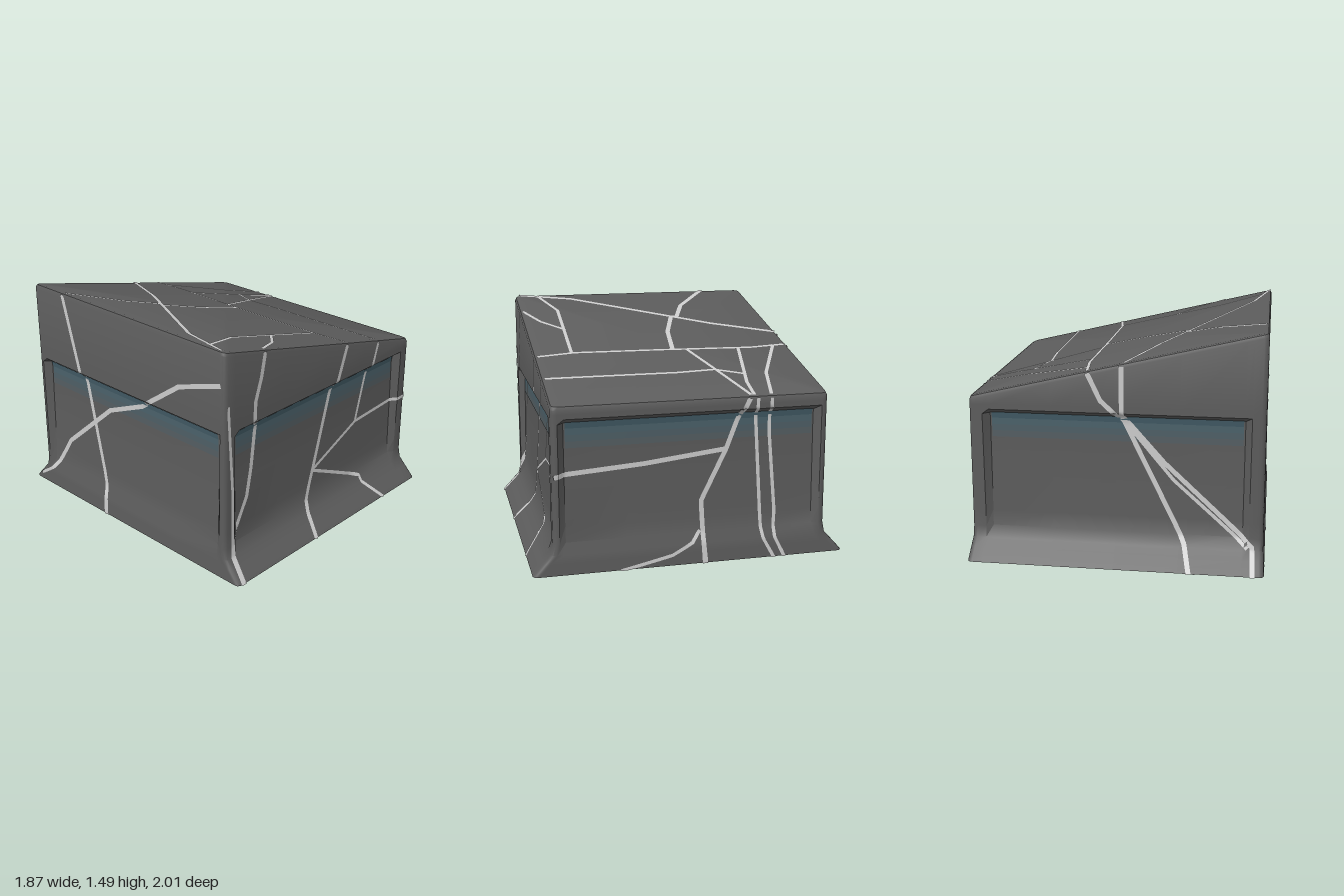
import * as THREE from 'three';
import { toCreasedNormals } from 'three/addons/utils/BufferGeometryUtils.js';

// Piecewise linear lookup in [[key, value], ...]
function lookup(table, t) {
  if (t <= table[0][0]) return table[0][1];
  for (let i = 1; i < table.length; i++) {
    const [k0, v0] = table[i - 1], [k1, v1] = table[i];
    if (t <= k1) return v0 + (v1 - v0) * (t - k0) / (k1 - k0);
  }
  return table[table.length - 1][1];
}

const R = 0.03;                                    // corner radius
const topY = x => 1.27 - 0.24 * x;                 // sloping top
const halfX = y => lookup([[0, 0.93], [0.13, 0.92], [0.98, 0.915]], y);
const halfZ = y => lookup([[0, 1], [0.03, 0.975], [0.13, 0.885], [0.2, 0.87]], y);
const depth = y => lookup([[0.13, 0], [0.2, 0.025], [0.3, 0.032], [0.9, 0.045], [0.94, 0.04], [0.97, 0]], y);
const rim = a => lookup([[0.79, 1], [0.83, 0]], Math.abs(a));

// Point on a wall. a runs along x on front/back and along z on the sides.
function wallPoint(face, a, y, lift = 0) {
  const inset = depth(y) * rim(a);
  if (face === 'front' || face === 'back') {
    const s = face === 'front' ? 1 : -1;
    return [a, y, s * (halfZ(y) - inset + lift)];
  }
  const s = face === 'left' ? 1 : -1;
  return [s * (halfX(y) - inset + lift), y, a * (halfZ(y) - R) / 0.84];
}

// One closed loop around the block, counter-clockwise seen from above
function loop(y, onTop, inset = 0) {
  const pts = [];
  const steps = [-1, -0.83, -0.79, -0.4, 0, 0.4, 0.79, 0.83, 1];
  const walls = [['front', 1, 0], ['left', -1, 90], ['back', -1, 180], ['right', 1, 270]];
  for (const [face, dir, turn] of walls) {
    const wide = face === 'front' || face === 'back';
    for (const s of steps) {
      const end = wide ? halfX(y) - R : 0.84;
      pts.push(wallPoint(face, dir * (Math.abs(s) === 1 ? s * end : s), y));
    }
    // rounded vertical corner
    const sx = turn < 180 ? 1 : -1, sz = turn === 0 || turn === 270 ? 1 : -1;
    for (const deg of [30, 60]) {
      const t = THREE.MathUtils.degToRad(turn + deg);
      pts.push([sx * (halfX(y) - R) + R * Math.sin(t), y, sz * (halfZ(y) - R) + R * Math.cos(t)]);
    }
  }
  if (onTop) for (const p of pts) {
    p[0] *= 1 - inset / 0.92;
    p[2] *= 1 - inset / 0.87;
    p[1] = topY(p[0]) - (inset ? 0 : 0.025);
  }
  return pts;
}

function bodyGeometry() {
  const levels = [0.003, 0.03, 0.08, 0.13, 0.2, 0.3, 0.6, 0.9, 0.94, 0.97, 1];
  const loops = levels.map(y => loop(y, false));
  loops.push(loop(1, true), loop(1, true, 0.008), loop(1, true, 0.025));
  const n = loops[0].length, pos = loops.flat(2), index = [];
  for (let r = 0; r < loops.length - 1; r++) {
    for (let i = 0; i < n; i++) {
      const j = (i + 1) % n, a = r * n + i, b = r * n + j;
      index.push(a, b, b + n, a, b + n, a + n);
    }
  }
  // soften the top edge, then close both ends
  for (let i = 0; i < n; i++) pos[((loops.length - 2) * n + i) * 3 + 1] -= 0.006;
  const bottom = pos.length / 3, top = bottom + 1, last = (loops.length - 1) * n;
  pos.push(0, levels[0], 0, 0, topY(0), 0);
  for (let i = 0; i < n; i++) {
    const j = (i + 1) % n;
    index.push(bottom, j, i, top, last + i, last + j);
  }
  const g = new THREE.BufferGeometry();
  g.setAttribute('position', new THREE.Float32BufferAttribute(pos, 3));
  g.setIndex(index);
  return toCreasedNormals(g, 0.6);
}

// Flat ribbon along a 2D polyline, laid onto a surface by map(u, v)
function ribbonGeometry(line, width, map) {
  const pts = [];
  line.forEach(([u, v], i) => {
    if (!i) return pts.push(new THREE.Vector2(u, v));
    const from = pts[pts.length - 1].clone(), to = new THREE.Vector2(u, v);
    const count = Math.max(1, Math.ceil(from.distanceTo(to) / 0.02));
    for (let k = 1; k <= count; k++) pts.push(from.clone().lerp(to, k / count));
  });
  const pos = [], index = [];
  pts.forEach((p, i) => {
    const d = pts[Math.min(i + 1, pts.length - 1)].clone().sub(pts[Math.max(i - 1, 0)]).normalize();
    const w = width / 2;
    pos.push(...map(p.x - d.y * w, p.y + d.x * w), ...map(p.x + d.y * w, p.y - d.x * w));
    if (i) index.push(2 * i - 2, 2 * i - 1, 2 * i + 1, 2 * i - 2, 2 * i + 1, 2 * i);
  });
  const g = new THREE.BufferGeometry();
  g.setAttribute('position', new THREE.Float32BufferAttribute(pos, 3));
  g.setIndex(index);
  g.computeVertexNormals();
  return g;
}

// Crack lines: [x, y] on front/back, [z, y] on the sides, [x, z] on top/bottom
const CRACKS = {
  front: [
    [[-0.58, 1.4], [-0.61, 1.25], [-0.66, 1.1], [-0.66, 0.98], [-0.61, 0.93], [-0.65, 0.65], [-0.69, 0.47], [-0.84, 0.2], [-0.88, 0]],
    [[0.21, 1.21], [0.1, 0.9], [-0.05, 0.42], [-0.19, 0]],
    [[0.55, 1.13], [0.48, 0.9], [0.39, 0.6]],
    [[-0.05, 0.4], [0.39, 0.59], [0.9, 0.62]],
    [[-0.05, 0.39], [0.43, 0.17], [0.43, 0.13], [0.55, 0]],
    [[-0.89, 1.15], [-0.85, 0.55], [-0.85, 0.2], [-0.89, 0]]],
  back: [
    [[0.17, 1.22], [0.09, 1.05], [-0.05, 0.92], [-0.43, 0.15], [-0.47, 0]],
    [[-0.04, 1.27], [-0.04, 0.95], [-0.3, 0.66], [-0.85, 0.15], [-0.86, 0]],
    [[-0.05, 0.92], [-0.36, 0.55], [-0.82, 0.14]]],
  left: [
    [[-0.36, 1.04], [-0.29, 0.9], [-0.22, 0.72], [-0.06, 0.4], [-0.07, 0.2], [-0.07, 0]],
    [[0.86, 0.62], [0.3, 0.66], [-0.22, 0.72]],
    [[-0.41, 1.04], [-0.41, 0.9], [-0.46, 0]],
    [[-0.5, 1.04], [-0.5, 0.8], [-0.54, 0.3], [-0.52, 0]],
    [[-0.05, 0.21], [0, 0.14], [0.12, 0.07], [0.4, 0]]],
  right: [
    [[-0.57, 1.48], [-0.41, 0.9], [-0.19, 0]],
    [[-0.84, 0.05], [-0.62, 0.4], [-0.19, 0.77], [0.12, 0.9], [0.5, 1.17], [0.84, 1.28]]],
  top: [
    [[-0.05, -0.86], [-0.24, -0.45], [-0.38, -0.22], [-0.8, 0.47], [-0.9, 0.84]],
    [[-0.9, -0.56], [-0.6, -0.32], [-0.4, -0.24], [-0.38, -0.19], [-0.12, -0.1], [0.17, -0.06]],
    [[0.17, -0.86], [0.2, -0.6], [0.18, 0], [0.17, 0.6], [0.21, 0.85]],
    [[-0.88, 0.71], [-0.58, 0.6], [0.17, 0.62]],
    [[-0.22, 0.6], [-0.38, 0.75], [-0.58, 0.85]],
    [[0.17, -0.77], [0.6, -0.57], [0.9, -0.5]],
    [[0.2, -0.51], [0.72, -0.4], [0.9, -0.39]],
    [[0.18, -0.15], [0.5, -0.25], [0.9, -0.37]],
    [[0.6, -0.42], [0.52, -0.25], [0.54, 0], [0.54, 0.85]]],
  bottom: [
    [[0.92, -0.49], [0.3, -0.72], [-0.51, -0.99]],
    [[0.92, -0.07], [-0.31, 0.32], [-0.72, 0.6], [-0.9, 0.97]],
    [[-0.2, 0.99], [-0.31, 0.32], [-0.46, -0.46], [-0.51, -0.99]],
    [[0.92, -0.49], [0.33, -0.45], [-0.31, 0.32]],
    [[0.33, -0.45], [-0.46, -0.46]],
    [[-0.72, 0.6], [-0.61, 0.2], [-0.92, -0.18]],
    [[0.92, 0.42], [0.79, 0.84], [0.54, 0.99]]],
};

export function createModel() {
  const model = new THREE.Group();
  const stone = new THREE.MeshStandardMaterial({ color: 0x5c5c5c });
  const crackMaterial = new THREE.MeshStandardMaterial({ color: 0xcccccc, side: THREE.DoubleSide });

  const body = new THREE.Mesh(bodyGeometry(), stone);
  body.name = 'stoneBlock';
  model.add(body);

  // Cracks on every face
  for (const [face, lines] of Object.entries(CRACKS)) {
    const group = new THREE.Group();
    group.name = face + 'Cracks';
    const map = face === 'top' ? (x, z) => [x, topY(x) + 0.003, z]
      : face === 'bottom' ? (x, z) => [x, 0, z]
        : (a, y) => wallPoint(face, a, Math.max(0, y), 0.004);
    lines.forEach((line, i) => {
      const width = face === 'bottom' || i > 1 ? 0.022 : 0.03;
      const crack = new THREE.Mesh(ribbonGeometry(line, width, map), crackMaterial);
      crack.name = 'crack';
      group.add(crack);
    });
    model.add(group);
  }

  // Blue tint fading downward below the upper rim of each panel
  const tints = [0x49646f, 0x4a616a, 0x4d5e65, 0x535d61];
  for (const face of ['front', 'back', 'left', 'right']) {
    tints.forEach((color, i) => {
      const y = 0.925 - i * 0.04;
      const material = new THREE.MeshStandardMaterial({ color, side: THREE.DoubleSide });
      const band = new THREE.Mesh(
        ribbonGeometry([[-0.78, y], [0.78, y]], 0.04, (a, v) => wallPoint(face, a, v, 0.0015)), material);
      band.name = 'blueTint';
      model.add(band);
    });
  }
  return model;
}
